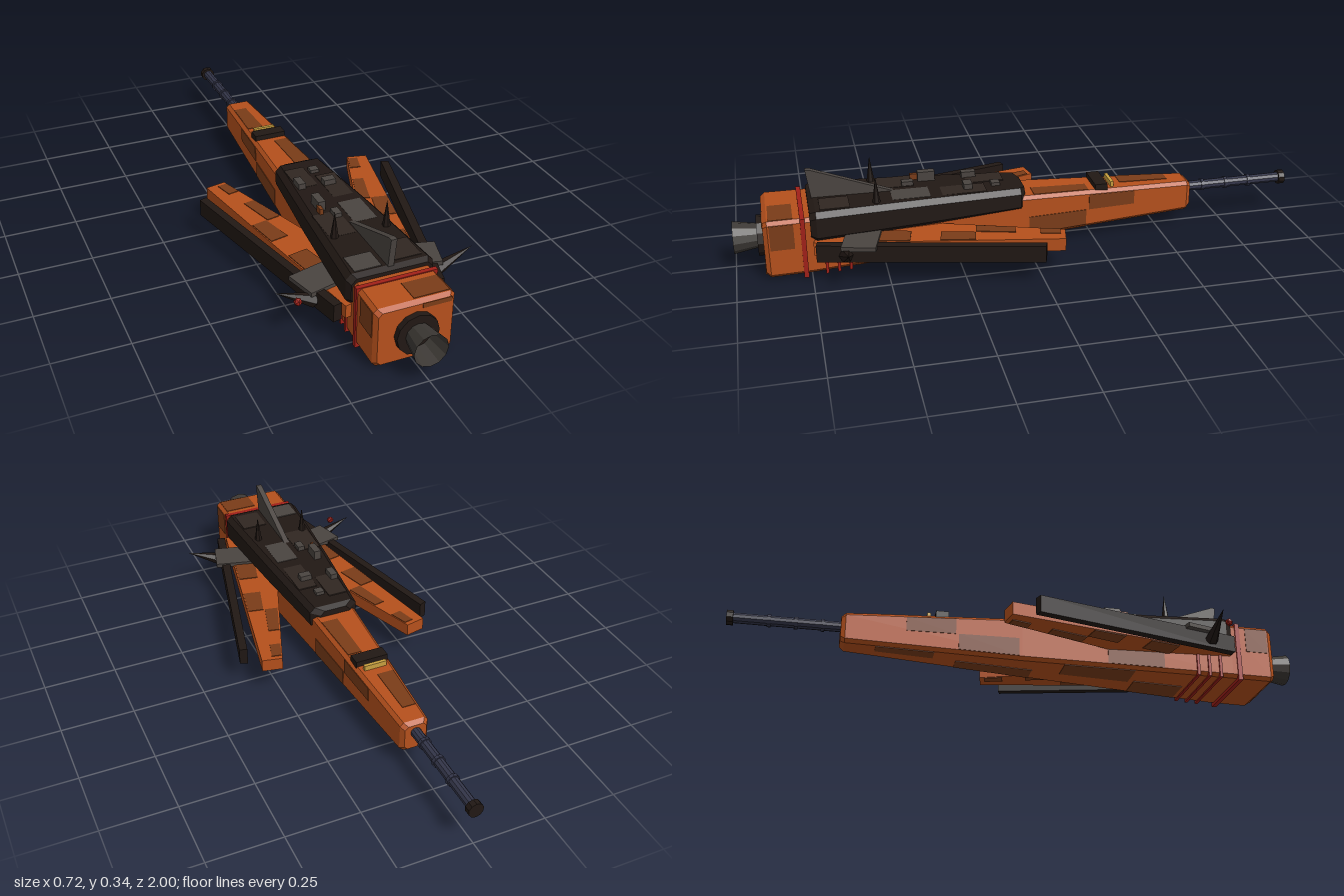
import * as THREE from 'three';

const mat = (color, extra = {}) => new THREE.MeshStandardMaterial({ color, flatShading: true, ...extra });
const ORANGE = mat(0xb5501c), BROWN = mat(0x7a3c18), BLACK = mat(0x211814), SOOT = mat(0x302621);
const GREY = mat(0x4a4440), RED = mat(0xa02018), STEEL = mat(0x34364a), YELLOW = mat(0xc8a040);
const GLOW = mat(0xf0a078), NOZZLE = mat(0x3c3834, { side: THREE.DoubleSide });

// Skin over rings of points, counter-clockwise seen from +z, ordered by rising z
function loft(rings) {
  const p = [], n = rings[0].length;
  const tri = (a, b, c) => p.push(...a, ...b, ...c);
  for (let s = 0; s < rings.length - 1; s++) {
    for (let i = 0; i < n; i++) {
      const j = (i + 1) % n, a = rings[s], b = rings[s + 1];
      tri(a[i], a[j], b[j]);
      tri(a[i], b[j], b[i]);
    }
  }
  const first = rings[0], last = rings[rings.length - 1];
  for (let i = 1; i < n - 1; i++) {
    tri(first[0], first[i + 1], first[i]);
    tri(last[0], last[i], last[i + 1]);
  }
  const g = new THREE.BufferGeometry();
  g.setAttribute('position', new THREE.Float32BufferAttribute(p, 3));
  g.computeVertexNormals();
  return g;
}

// Rectangle with cut corners: half width w, from y0 to y1, corner cut c
const ring = (z, w, y0, y1, c) => [
  [w - c, y0, z], [w, y0 + c, z], [w, y1 - c, z], [w - c, y1, z],
  [c - w, y1, z], [-w, y1 - c, z], [-w, y0 + c, z], [c - w, y0, z]];
const rect = (z, x0, x1, y0, y1) => [[x0, y0, z], [x1, y0, z], [x1, y1, z], [x0, y1, z]];

// Flat plate from an outline of [x, z], between two heights
function plate(outline, y0, y1) {
  const shape = new THREE.Shape(outline.map(([x, z]) => new THREE.Vector2(x, -z)));
  return new THREE.ExtrudeGeometry(shape, { depth: y1 - y0, bevelEnabled: false }).rotateX(-Math.PI / 2).translate(0, y0, 0);
}

// Hull half width, bottom and top at a given z
const STATIONS = [[-0.62, 0.048, 0.06, 0.17], [0, 0.08, 0.033, 0.19], [0.745, 0.13, 0.01, 0.213], [0.9, 0.132, 0.008, 0.213]];
function hullAt(z) {
  let i = 0;
  while (i < 2 && z > STATIONS[i + 1][0]) i++;
  const a = STATIONS[i], b = STATIONS[i + 1], t = (z - a[0]) / (b[0] - a[0]);
  return [1, 2, 3].map(k => a[k] + (b[k] - a[k]) * t);
}

export function createModel() {
  const root = new THREE.Group();
  const add = (name, geo, material, x = 0, y = 0, z = 0) => {
    const m = new THREE.Mesh(geo, material);
    m.name = name;
    m.position.set(x, y, z);
    root.add(m);
    return m;
  };
  const box = (name, material, w, h, d, x, y, z) => add(name, new THREE.BoxGeometry(w, h, d), material, x, y, z);

  // Main hull, tapering to the nose, with softened ends
  const hullRing = (z, inset = 0) => {
    const [w, y0, y1] = hullAt(z);
    return ring(z, w - inset, y0 + inset, y1 - inset, 0.012);
  };
  add('hull', loft([hullRing(-0.62, 0.01), hullRing(-0.605), hullRing(0), hullRing(0.745), hullRing(0.885), hullRing(0.9, 0.01)]), ORANGE);

  // Hull panels: fractions a..b across one face
  function panel(face, z0, z1, a, b) {
    const T = 0.002;
    const section = z => {
      const [w, y0, y1] = hullAt(z);
      const u = t => (2 * t - 1) * (w - 0.013), v = t => y0 + 0.013 + t * (y1 - y0 - 0.026);
      if (face === 'top') return rect(z, u(a), u(b), y1 - T, y1 + T);
      if (face === 'bottom') return rect(z, u(a), u(b), y0 - T, y0 + T);
      return face === 'left' ? rect(z, w - T, w + T, v(a), v(b)) : rect(z, -w - T, -w + T, v(a), v(b));
    };
    add(face + 'HullPanel', loft([section(z0), section(z1)]), BROWN);
  }
  panel('top', -0.54, -0.36, 0, 0.6);
  panel('top', -0.23, -0.03, 0.55, 1);
  panel('top', 0.8, 0.88, 0.5, 1);
  for (const face of ['left', 'right']) {
    panel(face, -0.22, -0.01, 0, 0.5);
    panel(face, -0.4, -0.23, 0.5, 1);
    panel(face, 0.3, 0.5, 0, 0.35);
    panel(face, 0.8, 0.88, 0.5, 1);
  }
  panel('bottom', -0.5, -0.3, 0, 0.5);
  panel('bottom', -0.22, 0.05, 0.5, 1);
  panel('bottom', 0.15, 0.4, 0, 0.55);
  panel('bottom', 0.42, 0.6, 0.5, 1);
  box('sternPanel', BROWN, 0.095, 0.016, 0.004, 0.068, 0.196, 0.9);
  box('sternPanel', BROWN, 0.095, 0.016, 0.004, 0.068, 0.026, 0.9);

  // Red frame and underside ribs
  box('redFrame', RED, 0.27, 0.216, 0.016, 0, 0.108, 0.77);
  for (const z of [0.7, 0.66, 0.62]) {
    const [w, y0] = hullAt(z);
    box('redRib', RED, 2 * w + 0.012, 0.1, 0.01, 0, y0 + 0.045, z);
  }

  // Dark armour over the hull
  add('armour', loft([
    ring(-0.0, 0.055, 0.14, 0.212, 0.015), ring(0.02, 0.088, 0.138, 0.222, 0.018),
    ring(0.35, 0.118, 0.132, 0.23, 0.018), ring(0.725, 0.146, 0.128, 0.234, 0.018),
    ring(0.745, 0.136, 0.135, 0.226, 0.018)]), BLACK);
  const deck = z => 0.222 + 0.0165 * z;
  for (const [x, z, w, d, m] of [
    [-0.04, 0.13, 0.07, 0.13, SOOT], [0.045, 0.22, 0.07, 0.16, SOOT], [0.045, 0.4, 0.08, 0.13, GREY],
    [-0.06, 0.45, 0.09, 0.14, SOOT], [-0.07, 0.68, 0.09, 0.08, GREY], [0.07, 0.66, 0.09, 0.1, SOOT]])
    box('armourPlate', m, w, 0.006, d, x, deck(z), z);
  for (const [x, z, w, h, d] of [
    [-0.062, 0.33, 0.026, 0.036, 0.06], [0.032, 0.2, 0.042, 0.022, 0.03],
    [-0.065, 0.18, 0.025, 0.022, 0.05], [-0.03, 0.4, 0.025, 0.018, 0.04], [0.02, 0.1, 0.03, 0.012, 0.03]])
    box('deckFitting', GREY, w, h, d, x, deck(z) + h / 2, z);
  box('deckFitting', BROWN, 0.012, 0.028, 0.03, -0.073, 0.238, 0.37);

  // Tail fin on the centre line
  const fin = new THREE.Shape([[0.44, 0.226], [0.73, 0.226], [0.745, 0.335], [0.73, 0.335]].map(p => new THREE.Vector2(-p[0], p[1])));
  add('tailFin', new THREE.ExtrudeGeometry(fin, { depth: 0.02, bevelEnabled: false }).rotateY(Math.PI / 2), GREY, -0.01);

  // Swept wings, outer rails, plates and spikes on both sides
  const tipIn = [0.24, -0.095], tipOut = [0.31, -0.08], rootOut = [0.15, 0.74], rootIn = [-0.04, 0.7];
  const mix = (a, b, t) => [a[0] + (b[0] - a[0]) * t, a[1] + (b[1] - a[1]) * t];
  const wingPoint = (u, t) => mix(mix(tipIn, rootIn, t), mix(tipOut, rootOut, t), u);
  const wingPatch = (u0, u1, t0, t1) => [wingPoint(u0, t0), wingPoint(u1, t0), wingPoint(u1, t1), wingPoint(u0, t1)];
  for (const s of [1, -1]) {
    const side = s > 0 ? 'left' : 'right';
    const flat = (name, outline, y0, y1, m) => add(side + name, plate(outline.map(([x, z]) => [s * x, z]), y0, y1), m);
    flat('Wing', wingPatch(0, 1, 0, 1), 0.088, 0.133, ORANGE);
    for (const [u0, u1, t0, t1] of [[0.05, 0.45, 0.2, 0.36], [0.5, 0.97, 0.36, 0.5], [0.5, 0.97, 0.62, 0.75], [0.05, 0.5, 0.02, 0.1]])
      flat('WingPanel', wingPatch(u0, u1, t0, t1), 0.0855, 0.1355, BROWN);
    flat('Rail', [[0.336, -0.008], [0.362, 0.002], [0.187, 0.735], [0.158, 0.728]], 0.08, 0.14, BLACK);
    flat('WingPlate', [[0.12, 0.511], [0.255, 0.546], [0.225, 0.657], [0.12, 0.63]], 0.13, 0.145, GREY);

    const base = new THREE.Vector3(s * 0.21, 0.106, 0.64), tip = new THREE.Vector3(s * 0.338, 0.165, 0.64);
    const dir = tip.clone().sub(base), len = dir.length();
    const spike = add(side + 'SideSpike', new THREE.ConeGeometry(0.024, len, 6), BLACK);
    spike.position.copy(base).add(tip).multiplyScalar(0.5);
    spike.quaternion.setFromUnitVectors(new THREE.Vector3(0, 1, 0), dir.normalize());
    add(side + 'DeckSpike', new THREE.ConeGeometry(0.014, 0.095, 6), BLACK, s * 0.09, 0.277, 0.52);
  }
  add('beacon', new THREE.IcosahedronGeometry(0.014, 0), RED, -0.28, 0.145, 0.68);

  // Sight band on the nose
  box('sightBlock', BLACK, 0.115, 0.026, 0.045, 0, 0.187, -0.277);
  box('yellowStrip', YELLOW, 0.08, 0.022, 0.012, 0, 0.187, -0.322);

  // Nose gun
  const tube = (name, r, z0, z1, m) =>
    add(name, new THREE.CylinderGeometry(r, r, z1 - z0, 10).rotateX(Math.PI / 2), m, 0, 0.133, (z0 + z1) / 2);
  tube('gunBarrel', 0.018, -0.99, -0.6, STEEL);
  for (const z of [-0.68, -0.77, -0.86]) tube('barrelRing', 0.022, z - 0.006, z + 0.006, STEEL);
  tube('muzzle', 0.026, -1, -0.978, BLACK);

  // Engine collar, open nozzle and glowing core
  add('engineCollar', new THREE.CylinderGeometry(0.07, 0.07, 0.024, 12).rotateX(Math.PI / 2), BLACK, 0, 0.11, 0.908);
  add('nozzle', new THREE.CylinderGeometry(0.056, 0.042, 0.08, 12, 1, true).rotateX(Math.PI / 2), NOZZLE, 0, 0.11, 0.96);
  add('engineGlow', new THREE.CylinderGeometry(0.015, 0.015, 0.02, 10).rotateX(Math.PI / 2), GLOW, 0, 0.11, 0.925);
  return root;
}
